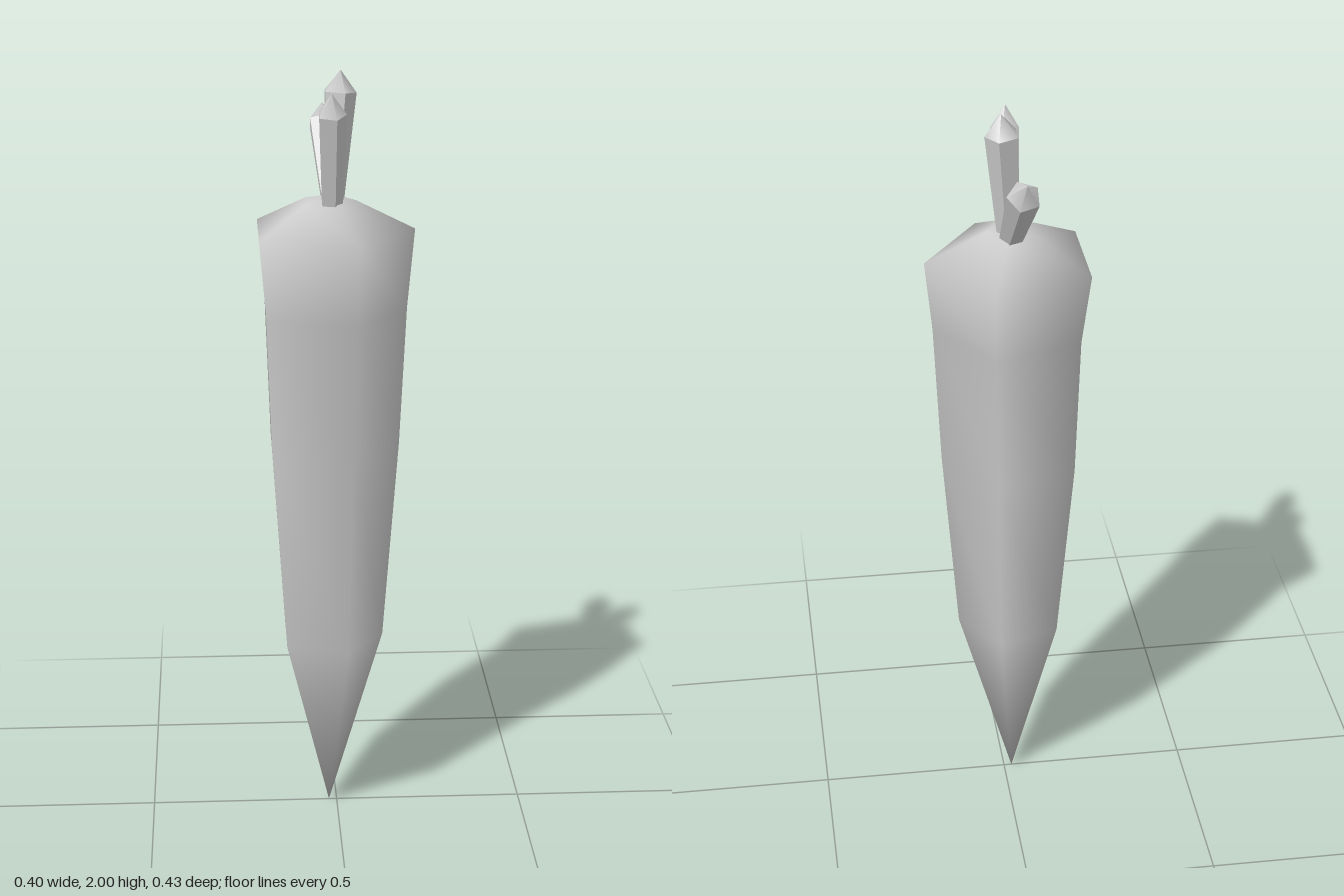
import * as THREE from 'three';

const SIDES = 5;

// Smooth skin over stacked pentagons; each ring is [y, radius, z offset]
function rootGeometry(rings, centreX) {
  const pos = [], index = [];
  for (const [y, r, z] of rings) {
    for (let j = 0; j < SIDES; j++) {
      const a = (j / SIDES) * Math.PI * 2;
      pos.push(centreX + r * Math.cos(a), y, z + r * Math.sin(a));
    }
  }
  for (let i = 0; i < rings.length - 1; i++) {
    for (let j = 0; j < SIDES; j++) {
      const k = (j + 1) % SIDES;
      const a = i * SIDES + j, d = i * SIDES + k;
      index.push(a, a + SIDES, d + SIDES, a, d + SIDES, d);
    }
  }
  // Pointed bottom and low crown
  const tip = pos.length / 3, crown = tip + 1, last = (rings.length - 1) * SIDES;
  pos.push(centreX, 0, 0, centreX, 1.69, 0);
  for (let j = 0; j < SIDES; j++) {
    const k = (j + 1) % SIDES;
    index.push(tip, j, k, last + j, crown, last + k);
  }
  const geo = new THREE.BufferGeometry();
  geo.setAttribute('position', new THREE.Float32BufferAttribute(pos, 3));
  geo.setIndex(index);
  geo.computeVertexNormals();
  return geo;
}

// Five-sided stalk from base to shoulder, with a pointed end
function makeStalk(name, base, shoulder, radius, flat, smooth) {
  const from = new THREE.Vector3(...base), to = new THREE.Vector3(...shoulder);
  const dir = to.clone().sub(from), length = dir.length(), tipHeight = 0.055;
  const stalk = new THREE.Group();
  stalk.name = name;

  const shaftGeo = new THREE.CylinderGeometry(radius, 0.029, length, SIDES, 1, false, Math.PI / 2);
  shaftGeo.translate(0, length / 2, 0);
  const shaft = new THREE.Mesh(shaftGeo, flat);
  shaft.name = 'stalkShaft';

  const tipGeo = new THREE.ConeGeometry(radius, tipHeight, SIDES, 1, true, Math.PI / 2);
  tipGeo.translate(0, length + tipHeight / 2, 0);
  const tip = new THREE.Mesh(tipGeo, smooth);
  tip.name = 'stalkTip';

  stalk.add(shaft, tip);
  stalk.position.copy(from);
  stalk.quaternion.setFromUnitVectors(new THREE.Vector3(0, 1, 0), dir.normalize());
  return stalk;
}

export function createModel() {
  const smooth = new THREE.MeshStandardMaterial({ color: 0xcccccc });
  const flat = new THREE.MeshStandardMaterial({ color: 0xcccccc, flatShading: true });
  const model = new THREE.Group();
  model.name = 'carrot';

  // Tapering, slightly crooked root
  const root = new THREE.Mesh(rootGeometry([
    [0.5, 0.142, 0.025],
    [1.03, 0.184, 0.005],
    [1.4, 0.2, 0.025],
    [1.6, 0.221, 0],
    [1.675, 0.07, 0],
  ], -0.021), smooth);
  root.name = 'root';
  model.add(root);

  // Stalks fanned from front to back
  model.add(
    makeStalk('frontStalk', [-0.015, 1.67, 0.04], [-0.017, 1.91, 0.1], 0.038, flat, smooth),
    makeStalk('middleStalk', [-0.01, 1.67, -0.01], [0.008, 1.945, -0.03], 0.044, flat, smooth),
    makeStalk('backStalk', [-0.012, 1.665, -0.03], [-0.025, 1.845, -0.172], 0.043, flat, smooth),
  );
  return model;
}
